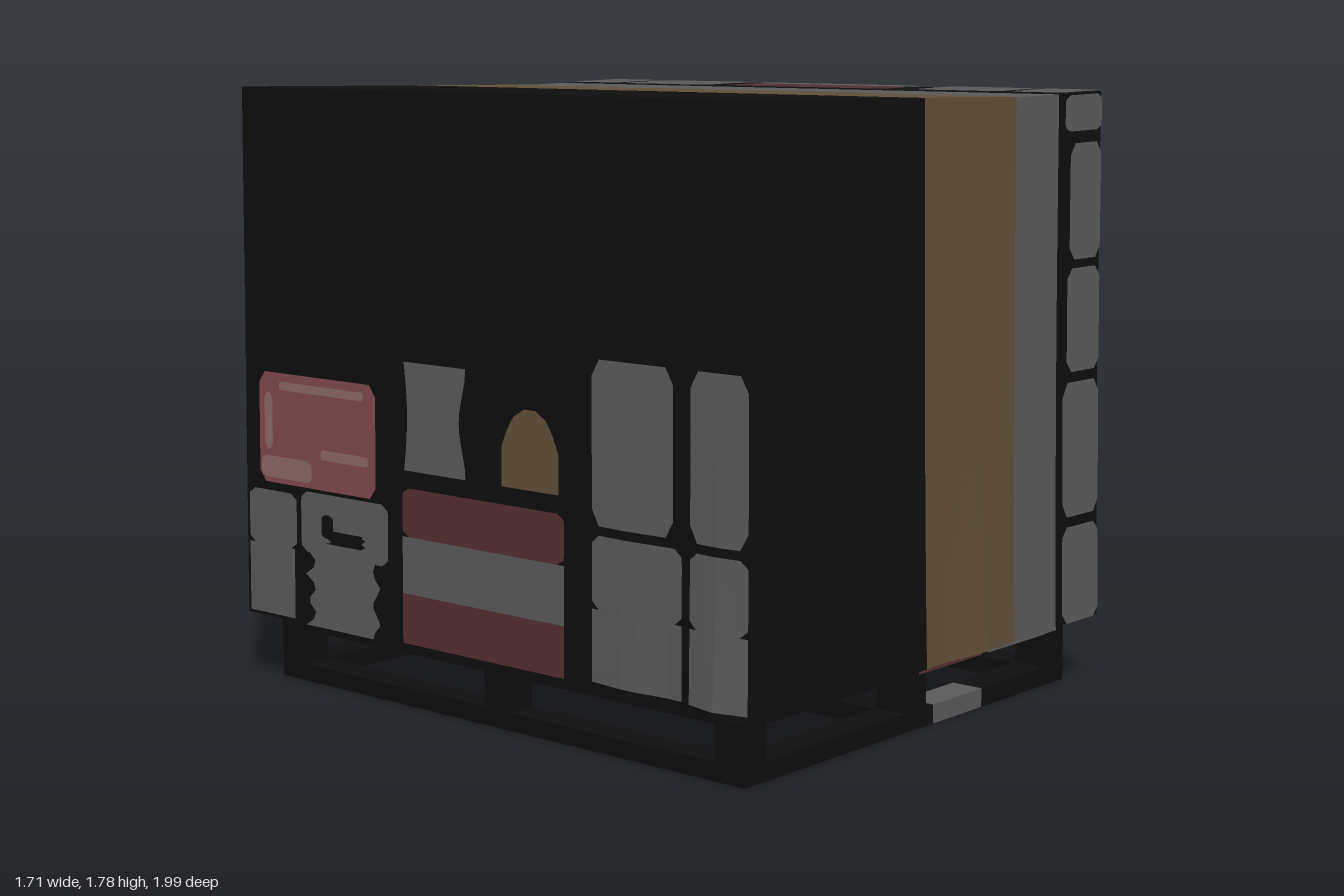
import * as THREE from 'three';

const mat = (name, color) => {
  const m = new THREE.MeshStandardMaterial({ color });
  m.name = name;
  return m;
};

// Extents of the wrapped load before it is draped
const L = -0.8, R = 0.825, F = 0.95, B = -0.975, Y0 = 0.2, Y1 = 1.765;
const clamp = THREE.MathUtils.clamp;
const ridge = (s, c, w) => Math.max(0, 1 - Math.abs(s - c) / w);

// Drape rule: cloth flares and creases toward the hem
function drape(x, y, z) {
  const t = clamp((Y1 - y) / (Y1 - Y0), 0, 1), h = clamp((y - 1.2) / 0.565, 0, 1);
  const front = clamp(z / F, 0, 1), back = clamp(z / B, 0, 1);
  const right = clamp(x / R, 0, 1), left = clamp(x / L, 0, 1);
  const low = t ** 3;
  const dx = right * (low * (0.03 * ridge(z, -0.45, 0.14) + 0.018 * ridge(z, -0.8, 0.14) + 0.015 * ridge(z, -0.1, 0.12)) - 0.008 * Math.sin(Math.PI * t))
    - left * (0.018 * t + low * (0.035 * ridge(z, 0.85, 0.13) + 0.015 * ridge(z, 0.55, 0.12)));
  const dz = front * (0.025 * t + low * (0.025 * ridge(x, -0.28, 0.35) + 0.02 * ridge(x, 0.2, 0.2)))
    - back * (0.008 + low * (0.012 * ridge(x, 0.15, 0.25) + 0.01 * ridge(x, -0.5, 0.2)));
  const shear = -0.035 * (F - z) / (F - B) * (1 - Math.min(1, x * x / 0.67));
  const dy = h * (0.012 * left - 0.008 * ridge(x, 0.45, 0.4));
  return [x + dx + shear, y + dy, z + dz];
}

// Each face: mapping of (u, v, offset) to a point, and whether winding flips
const faces = {
  front: { at: (u, v, o) => [u, v, F + o] },
  back: { at: (u, v, o) => [u, v, B - o], flip: true },
  right: { at: (u, v, o) => [R + o, v, u], flip: true },
  left: { at: (u, v, o) => [L - o, v, u] },
  top: { at: (u, v, o) => [u, Y1 + o, v], flip: true },
  bottom: { at: (u, v, o) => [u, Y0 - o, v] },
};

// Draped sheet; profile(t) gives the left and right limits of each row
function sheet(face, u0, u1, v0, v1, off, profile = () => [0, 1], step = 0.06) {
  const { at, flip } = faces[face];
  const nu = Math.max(2, Math.ceil((u1 - u0) / step)), nv = Math.max(10, Math.ceil((v1 - v0) / step));
  const pos = [], idx = [];
  for (let j = 0; j <= nv; j++) {
    const [a, b] = profile(j / nv, u1 - u0, v1 - v0);
    for (let i = 0; i <= nu; i++) {
      const s = a + (b - a) * i / nu;
      const p = at(u0 + (u1 - u0) * s, v0 + (v1 - v0) * j / nv, 0);
      const q = at(0, 0, off), r = at(0, 0, 0);
      pos.push(...drape(...p).map((c, k) => c + q[k] - r[k]));
      if (i < nu && j < nv) {
        const n = j * (nu + 1) + i, m = n + nu + 1;
        if (flip) idx.push(n, m, n + 1, n + 1, m, m + 1);
        else idx.push(n, n + 1, m, n + 1, m + 1, m);
      }
    }
  }
  const g = new THREE.BufferGeometry();
  g.setAttribute('position', new THREE.Float32BufferAttribute(pos, 3));
  g.setIndex(idx);
  const flat = g.toNonIndexed();
  flat.computeVertexNormals();
  return flat;
}

// Row profiles for printed shapes
const rounded = (t, w, h) => {
  const r = Math.min(0.025, w / 3, h / 3), d = Math.min(t, 1 - t) * h;
  const k = d < r ? (r - Math.sqrt(r * r - (r - d) ** 2)) / w : 0;
  return [k, 1 - k];
};
const waist = (t) => [0.03 + 0.05 * Math.sin(Math.PI * t), 0.97 - 0.1 * Math.sin(Math.PI * t) ** 2];
const shield = (t) => {
  const k = t < 0.5 ? 0.1 + 0.4 * Math.sqrt(t * 2) : 0.5;
  return [0.5 - k, 0.5 + k];
};
const shieldFlipped = (t) => shield(1 - t);
const ragged = (t) => [0.05 + 0.12 * Math.abs(Math.sin(t * 9)), 0.95 - 0.1 * Math.abs(Math.cos(t * 7))];

export function createModel() {
  const model = new THREE.Group();
  const black = mat('black cloth', 0x0e0e0e), grey = mat('grey', 0x5a5a5a), brown = mat('brown', 0x604f38);
  const red = mat('dark red', 0x522f30), pink = mat('pink red', 0x814a4c), pale = mat('pale pink', 0x8b6868);

  const add = (parent, name, geo, material) => {
    const m = new THREE.Mesh(geo, material);
    m.name = name;
    parent.add(m);
  };

  // Tarp with colour bands running over front, top and back
  const tarp = new THREE.Group();
  tarp.name = 'tarp';
  model.add(tarp);
  const bands = [[L, -0.06, black], [-0.06, 0.38, brown], [0.38, 0.6, grey], [0.6, R, black]];
  for (const [a, b, m] of bands) {
    add(tarp, 'frontBand', sheet('front', a, b, Y0, Y1, 0), m);
    add(tarp, 'backBand', sheet('back', a, b, Y0, Y1, 0), m);
    add(tarp, 'topBand', sheet('top', a, b, B, F, 0), m);
  }
  add(tarp, 'rightSide', sheet('right', B, F, Y0, Y1, 0), black);
  add(tarp, 'leftSide', sheet('left', B, F, Y0, Y1, 0), black);
  add(tarp, 'underside', sheet('bottom', L, R, B, F, 0), black);

  // Column of grey panels beside the bands
  const patches = new THREE.Group();
  patches.name = 'patches';
  model.add(patches);
  const column = [[0.63, 0.2, 0.49], [0.63, 0.52, 0.92], [0.65, 0.95, 1.255], [0.66, 1.28, 1.62], [0.63, 1.655, 1.76]];
  for (const face of ['front', 'back'])
    for (const [x, a, b] of column) add(patches, face + 'Panel', sheet(face, x, R, a, b, 0.004, rounded), grey);

  // Side print: z range, then distance down the wrap (0 to 0.22 lies on the top)
  const W = 0.22;
  const print = [
    [0.76, 0.95, 0.02, W, grey], [0.42, 0.73, 0.02, W, grey],
    [0.76, 0.95, W, 0.42, grey, rounded], [0.42, 0.73, W, 0.42, grey, rounded],
    [0.76, 0.95, 0.445, 0.89, grey, rounded], [0.42, 0.7, 0.445, 0.89, grey, rounded],
    [-0.3, 0.32, 0.01, 0.155, red], [-0.3, 0.32, 0.155, W, grey], [-0.3, 0.32, W, 0.32, grey],
    [-0.3, 0.32, 0.32, 0.46, red, rounded],
    [-0.73, -0.37, 0.0, W, grey, ragged], [-0.96, -0.76, 0.01, W, grey],
    [-0.73, -0.36, W, 0.4, grey, rounded], [-0.96, -0.75, W, 0.385, grey, rounded],
    [-0.63, -0.44, 0.255, 0.295, black, ragged, 0.006], [-0.64, -0.59, 0.27, 0.34, black, rounded, 0.006],
    [0.09, 0.3, 0.51, 0.73, brown, shield],
    [-0.3, -0.04, 0.51, 0.82, grey, waist],
    [-0.91, -0.41, 0.41, 0.74, pink, rounded],
    [-0.9, -0.68, 0.425, 0.49, pale, rounded, 0.006], [-0.64, -0.44, 0.5, 0.53, pale, rounded, 0.006],
    [-0.82, -0.46, 0.69, 0.715, pale, rounded, 0.006], [-0.885, -0.85, 0.51, 0.68, pale, rounded, 0.006],
  ];
  for (const [z0, z1, d0, d1, m, profile, off = 0.004] of print) {
    const flipped = profile === shield ? shieldFlipped : profile;
    add(patches, 'leftPatch', sheet('left', z0, z1, Y0 + d0, Y0 + d1, off, flipped), m);
    if (d0 >= W) add(patches, 'rightPatch', sheet('right', z0, z1, Y1 + W - d1, Y1 + W - d0, off, profile), m);
    else add(patches, 'topPatch', sheet('top', 0.6 + d0, Math.min(R, 0.605 + d1), z0, z1, off, rounded), m);
  }

  // Pallet
  const pallet = new THREE.Group();
  pallet.name = 'pallet';
  model.add(pallet);
  const box = (name, x0, x1, y0, y1, z0, z1, m) => {
    const g = new THREE.BoxGeometry(x1 - x0, y1 - y0, z1 - z0);
    g.translate((x0 + x1) / 2, (y0 + y1) / 2, (z0 + z1) / 2);
    add(pallet, name, g, m);
  };
  // Board along x, made of coloured lengths: [end, material]
  const board = (name, y0, y1, z0, z1, lengths) => {
    let x = -0.75;
    for (const [end, m] of lengths) {
      box(name, x, end, y0, y1, z0, z1, m);
      x = end;
    }
  };
  const columns = [[-0.75, -0.66], [-0.045, 0.055], [0.655, 0.76]];
  const rows = [[-0.91, -0.81], [-0.05, 0.05], [0.8, 0.9]];
  for (const [x0, x1] of columns) {
    for (const [z0, z1] of rows) box('block', x0, x1, 0.05, 0.157, z0, z1, black);
    const side = x0 > 0.5 ? grey : black;
    for (const [y0, y1, name] of [[0, 0.052, 'runner'], [0.155, 0.178, 'stringer']]) {
      box(name, x0, x1, y0, y1, -0.05, 0.8, black);
      box(name, x0, x1, y0, y1, -0.81, -0.05, side);
    }
  }
  board('frontRunner', 0, 0.055, 0.8, 0.9, [[0.09, black], [0.33, grey], [0.76, black]]);
  board('backRunner', 0, 0.055, -0.91, -0.81, [[0.05, black], [0.3, red], [0.42, black], [0.76, grey]]);
  board('frontDeckBoard', 0.155, 0.199, 0.78, 0.9, [[0.02, black], [0.33, red], [0.36, black], [0.72, grey], [0.76, black]]);
  board('backDeckBoard', 0.155, 0.199, -0.91, -0.79, [[0, black], [0.25, red], [0.5, grey], [0.76, black]]);
  for (let i = 0; i < 6; i++) {
    const z = -0.6 + i * 0.24;
    board('deckBoard', 0.176, 0.199, z - 0.065, z + 0.065,
      [[-0.4, black], [-0.2, i % 2 ? brown : grey], [0.15, black], [0.5, brown], [0.76, black]]);
  }
  return model;
}
